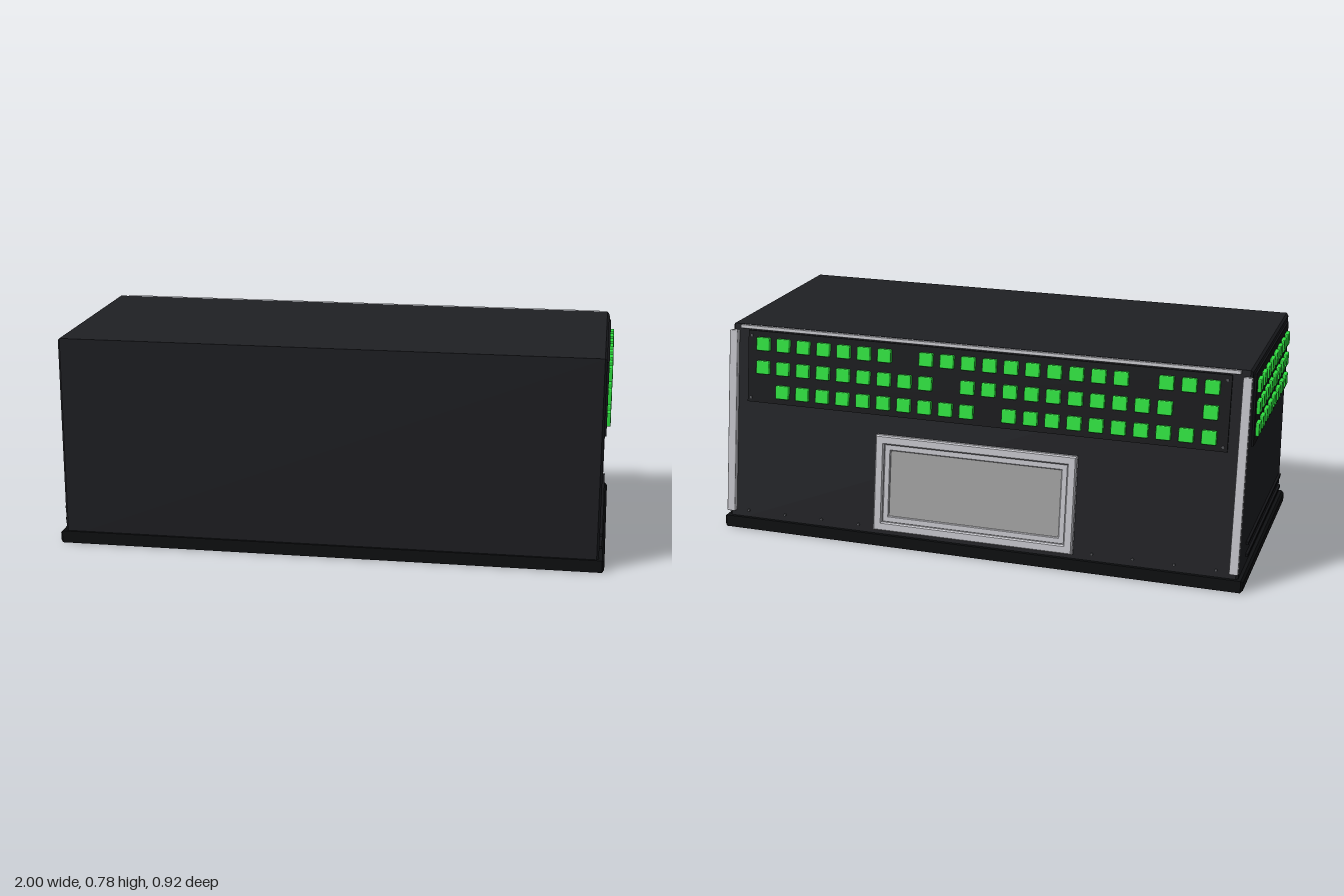
import * as THREE from 'three';
import { RoundedBoxGeometry } from 'three/addons/geometries/RoundedBoxGeometry.js';

const paint = (color) => new THREE.MeshStandardMaterial({ color });
const shell = paint(0x1f2024), baseDark = paint(0x0f1012), panelDark = paint(0x131417);
const green = paint(0x2ee640), trim = paint(0xc6c6cc), glass = paint(0xa2a2a2), screwGrey = paint(0x55565a);

function add(parent, name, geometry, material, x = 0, y = 0, z = 0) {
  const mesh = new THREE.Mesh(geometry, material);
  mesh.name = name;
  mesh.position.set(x, y, z);
  parent.add(mesh);
  return mesh;
}
const box = (w, h, d) => new THREE.BoxGeometry(w, h, d);

function rect(target, w, h) {
  target.moveTo(-w / 2, -h / 2);
  target.lineTo(w / 2, -h / 2);
  target.lineTo(w / 2, h / 2);
  target.lineTo(-w / 2, h / 2);
  target.closePath();
  return target;
}

// rectangular ring with chamfered edges
function ring(w, h, bar, depth, bevel) {
  const shape = rect(new THREE.Shape(), w - 2 * bevel, h - 2 * bevel);
  shape.holes.push(rect(new THREE.Path(), w - 2 * bar + 2 * bevel, h - 2 * bar + 2 * bevel));
  const geometry = new THREE.ExtrudeGeometry(shape, {
    depth: depth - 2 * bevel, bevelEnabled: true, bevelThickness: bevel, bevelSize: bevel, bevelSegments: 1,
  });
  return geometry.translate(0, 0, bevel);
}

// side profile (along depth, height) extruded across the width
function sideExtrude(points, halfWidth, bevel) {
  const shape = new THREE.Shape(points.map(([z, y]) => new THREE.Vector2(-z, y)));
  const geometry = new THREE.ExtrudeGeometry(shape, {
    depth: 2 * (halfWidth - bevel), bevelEnabled: true, bevelThickness: bevel,
    bevelSize: bevel, bevelSegments: 1,
  });
  return geometry.translate(0, 0, -(halfWidth - bevel)).rotateY(Math.PI / 2);
}

export function createModel() {
  const model = new THREE.Group();
  model.name = 'console';

  // cabinet with sloping back, on a slightly wider plinth
  add(model, 'cabinet', sideExtrude(
    [[0.442, 0.03], [0.442, 0.767], [-0.318, 0.767], [-0.429, 0.03]], 0.978, 0.008), shell);
  add(model, 'plinth', sideExtrude(
    [[0.451, 0.008], [0.451, 0.037], [-0.438, 0.037], [-0.438, 0.008]], 0.998, 0.008), baseDark);

  // side light panels and grooves
  const sideLight = new RoundedBoxGeometry(0.024, 0.049, 0.05, 1, 0.004);
  for (const s of [-1, 1]) {
    const side = new THREE.Group();
    side.name = s > 0 ? 'leftSide' : 'rightSide';
    model.add(side);
    add(side, 'lightPanel', box(0.016, 0.265, 0.695), panelDark, s * 0.977, 0.62, 0.0625);
    for (let row = 0; row < 3; row++) {
      for (let col = 0; col < 8; col++) {
        add(side, 'light', sideLight, green, s * 0.986, 0.7 - row * 0.0805, 0.355 - col * 0.0836);
      }
    }
    for (const y of [0.08, 0.126]) {
      add(side, 'sideRib', box(0.02, 0.01, 0.715), panelDark, s * 0.977, y, 0.0625);
    }
  }

  // sloping back: local y runs up the slope, local z points outward
  const back = new THREE.Group();
  back.name = 'back';
  const up = new THREE.Vector3(0, 0.73, 0.11).normalize();
  const out = new THREE.Vector3(0, 0.11, -0.73).normalize();
  back.quaternion.setFromRotationMatrix(
    new THREE.Matrix4().makeBasis(new THREE.Vector3(-1, 0, 0), up, out));
  back.position.set(0, 0.045, -0.435);
  model.add(back);

  add(back, 'lightPanel', box(1.82, 0.27, 0.012), panelDark, 0, 0.583, 0.002);

  // three rows of lights with regular gaps
  const backLight = new RoundedBoxGeometry(0.053, 0.05, 0.02, 1, 0.004);
  for (let row = 0; row < 3; row++) {
    for (let col = 0; col < 22; col++) {
      if (col % 11 === (7 + 2 * row) % 11) continue;
      add(back, 'light', backLight, green, -0.845 + col * 0.0805, 0.671 - row * 0.088, 0.013);
    }
  }

  // framed window
  const window = new THREE.Group();
  window.name = 'window';
  window.position.set(0, 0.198, 0);
  back.add(window);
  add(window, 'frame', ring(0.765, 0.36, 0.034, 0.027, 0.005), trim);
  add(window, 'innerFrame', ring(0.7, 0.295, 0.024, 0.015, 0.003), trim);
  add(window, 'pane', box(0.66, 0.255, 0.008), glass, 0, 0, 0.004);

  // corner rails and top strip
  for (const s of [-1, 1]) {
    add(back, 'cornerRail', new RoundedBoxGeometry(0.032, 0.695, 0.024, 1, 0.004), trim, s * 0.965, 0.368, 0.012);
  }
  add(back, 'topStrip', new RoundedBoxGeometry(1.88, 0.014, 0.018, 1, 0.003), trim, 0, 0.73, 0.007);

  // screws along the foot and at the panel corners
  const screw = new THREE.CylinderGeometry(0.005, 0.005, 0.008, 8).rotateX(Math.PI / 2);
  for (const s of [-1, 1]) {
    for (let i = 0; i < 4; i++) {
      add(back, 'screw', screw, screwGrey, s * (0.9 - i * 0.15), 0.025, 0.003);
    }
    for (const y of [0.465, 0.7]) add(back, 'screw', screw, screwGrey, s * 0.895, y, 0.008);
  }
  return model;
}
